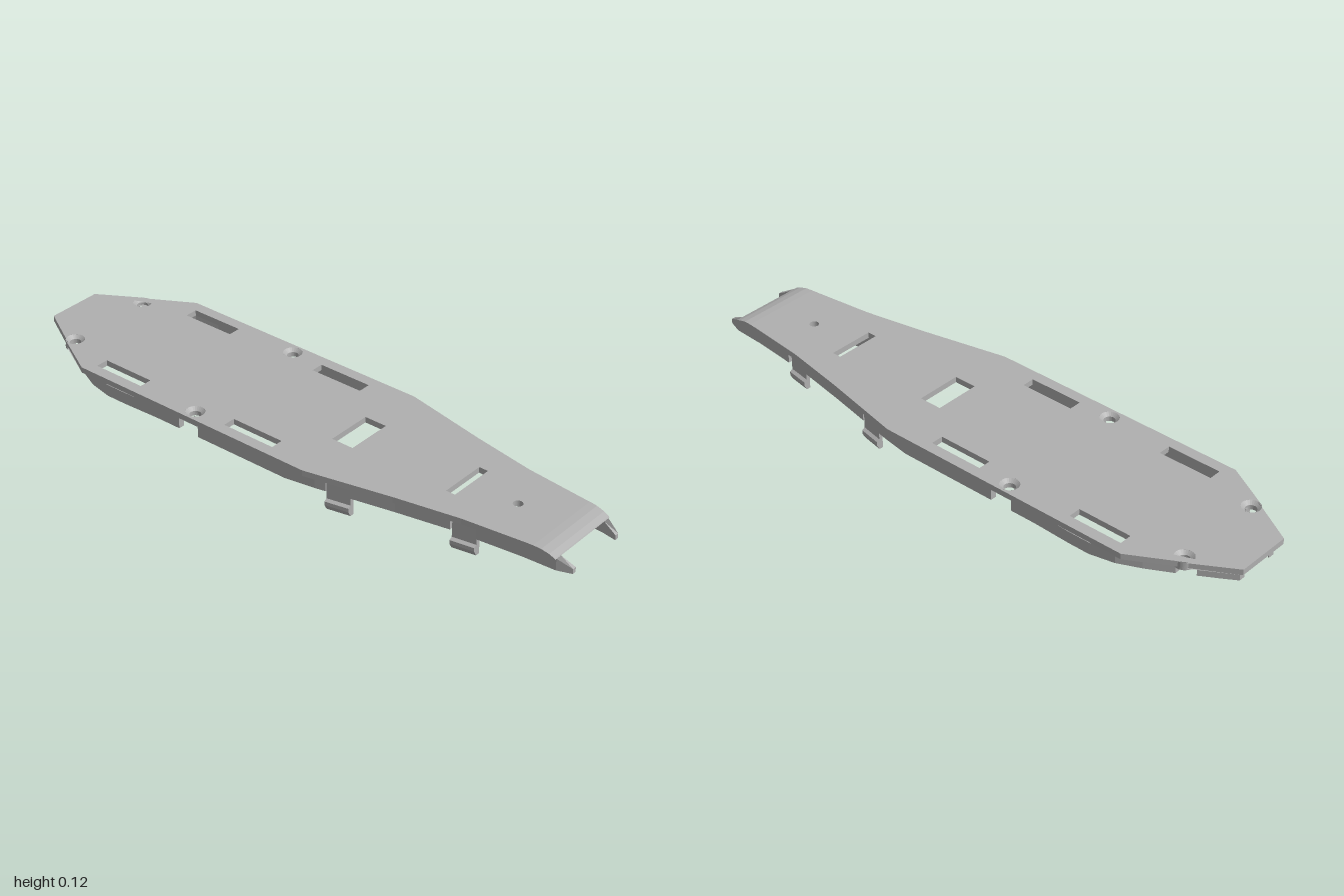
import * as THREE from 'three';

const grey = new THREE.MeshStandardMaterial({ color: 0xb0b0b0, side: THREE.DoubleSide });
grey.name = 'plain grey';

const toShape = (pts) => new THREE.Shape(pts.map(([x, z]) => new THREE.Vector2(x, z)));

// Extrudes a plan shape (x, z) between two heights
function slab(shape, y0, y1) {
  const geo = new THREE.ExtrudeGeometry(shape, { depth: y1 - y0, bevelEnabled: false, curveSegments: 24 });
  return geo.rotateX(Math.PI / 2).translate(0, y1, 0);
}

// Outer edge of the underside rails, as [x, z]
const railLine = [
  [-0.98, 0.077], [-0.93, 0.108], [-0.88, 0.138], [-0.83, 0.168], [-0.75, 0.212], [-0.68, 0.244],
  [-0.6, 0.261], [-0.53, 0.261], [-0.4, 0.256], [0.1, 0.256], [0.2, 0.24], [0.45, 0.188],
  [0.62, 0.156], [0.85, 0.131], [0.955, 0.125], [1, 0.109],
];
function railZ(x) {
  let i = 1;
  while (i < railLine.length - 1 && railLine[i][0] < x) i++;
  const [x0, z0] = railLine[i - 1], [x1, z1] = railLine[i];
  return z0 + (z1 - z0) * (x - x0) / (x1 - x0);
}

export function createModel() {
  const model = new THREE.Group();
  const add = (name, geo) => {
    const mesh = new THREE.Mesh(geo, grey);
    mesh.name = name;
    model.add(mesh);
    return mesh;
  };
  const screws = [[-0.845, 0.151], [-0.275, 0.222]];

  // Deck plate with its slots and holes
  const half = [[-1, 0.092], [-0.71, 0.259], [0.17, 0.259], [0.45, 0.199], [0.66, 0.16], [0.86, 0.138]];
  const deck = toShape([...half, ...half.map(([x, z]) => [x, -z]).reverse()]);
  const cutBox = (x0, x1, z0, z1) => deck.holes.push(toShape([[x0, z0], [x0, z1], [x1, z1], [x1, z0]]));
  const cutRound = (x, z, r) => {
    const hole = new THREE.Path();
    hole.absarc(x, z, r, 0, Math.PI * 2, true);
    deck.holes.push(hole);
  };
  cutBox(0.13, 0.206, -0.077, 0.077);
  cutBox(0.545, 0.576, -0.078, 0.078);
  cutRound(0.737, 0, 0.015);
  for (const s of [-1, 1]) {
    cutBox(-0.68, -0.497, s * 0.18, s * 0.222);
    cutBox(-0.16, 0.025, s * 0.18, s * 0.222);
    for (const [x, z] of screws) cutRound(x, s * z, 0.03);
  }
  add('deckPlate', slab(deck, 0.1, 0.119));

  // Sloping nose, narrowing to the front
  const nose = new THREE.ExtrudeGeometry(
    toShape([[0.86, 0.1], [0.955, 0.1], [0.953, 0.103], [0.935, 0.111], [0.91, 0.1175], [0.885, 0.119], [0.86, 0.119]]),
    { depth: 2, bevelEnabled: false }).translate(0, 0, -1);
  const np = nose.attributes.position;
  for (let i = 0; i < np.count; i++) np.setZ(i, np.getZ(i) * (0.138 - (np.getX(i) - 0.86) * 0.08));
  nose.computeVertexNormals();
  add('nose', nose);

  // Rails under both edges, broken at screws and clips
  const spans = [[-0.98, -0.88], [-0.83, -0.31], [-0.235, 0.235], [0.312, 0.62], [0.702, 1]];
  for (const s of [-1, 1]) {
    for (const [a, b] of spans) {
      const xs = [a, ...railLine.map((p) => p[0]).filter((x) => x > a && x < b), b];
      const outer = xs.map((x) => [x, s * railZ(x)]);
      const inner = xs.map((x) => [x, s * (railZ(x) - (x === 1 ? 0.013 : 0.021))]).reverse();
      const geo = slab(toShape([...outer, ...inner]), 0.062, 0.101);
      const p = geo.attributes.position;
      // Prong tips slope down in front of the nose
      for (let i = 0; i < p.count; i++) {
        if (p.getX(i) > 0.96 && p.getY(i) > 0.09) p.setY(i, 0.078);
      }
      geo.computeVertexNormals();
      add('edgeRail', geo);
    }

    // Snap clips with outward hooks, following the slant of the edge
    for (const [xc, zc, slope] of [[0.273, 0.221, 0.2], [0.661, 0.144, 0.17]]) {
      const profile = [[0, 0.102], [0, 0.036], [0.01, 0.03], [0.01, 0.018], [0, 0], [-0.014, 0], [-0.014, 0.102]];
      const geo = new THREE.ExtrudeGeometry(toShape(profile.map(([z, y]) => [-s * (zc + z), y])),
        { depth: 0.076, bevelEnabled: false }).rotateY(Math.PI / 2).translate(xc - 0.038, 0, 0);
      const p = geo.attributes.position;
      for (let i = 0; i < p.count; i++) p.setZ(i, p.getZ(i) - s * slope * (p.getX(i) - xc));
      geo.computeVertexNormals();
      add('snapClip', geo);
    }

    // Countersunk screw seats
    for (const [x, z] of screws) {
      const ring = [[0.03, 0.119], [0.018, 0.109], [0.018, 0.094], [0.031, 0.094], [0.031, 0.101]];
      const geo = new THREE.LatheGeometry(ring.map(([r, y]) => new THREE.Vector2(r, y)), 24).toNonIndexed();
      geo.computeVertexNormals();
      add('screwSeat', geo).position.set(x, 0, s * z);
    }
  }

  // Shallow cross ribs on the underside
  for (const x of [-0.6, -0.3, -0.05, 0.25]) {
    add('crossRib', new THREE.BoxGeometry(0.008, 0.004, 0.34).translate(x, 0.099, 0));
  }
  return model;
}
